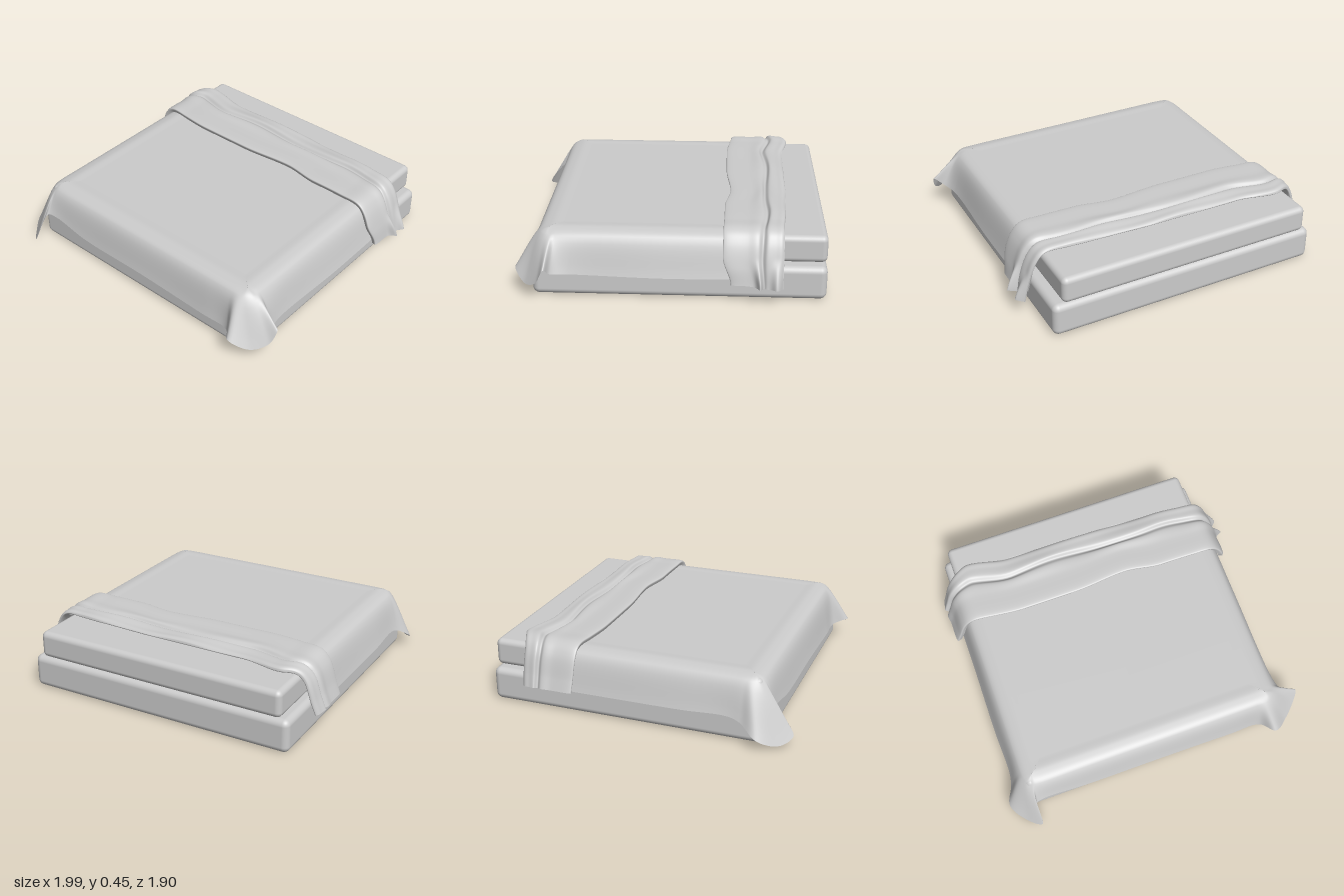
import * as THREE from 'three';
import { RoundedBoxGeometry } from 'three/addons/geometries/RoundedBoxGeometry.js';

const V = (x, y, z) => new THREE.Vector3(x, y, z);
const spline = pts => new THREE.CatmullRomCurve3(pts, false, 'centripetal');
const clamp = THREE.MathUtils.clamp;
const smooth = THREE.MathUtils.smoothstep;

// Smooth skin over a list of equally long rows of points
function skin(rows) {
  const n = rows[0].length, index = [];
  for (let r = 0; r < rows.length - 1; r++) {
    for (let c = 0; c < n - 1; c++) {
      const a = r * n + c, b = a + n;
      index.push(a, b, a + 1, b, b + 1, a + 1);
    }
  }
  const geo = new THREE.BufferGeometry().setFromPoints(rows.flat());
  geo.setIndex(index);
  geo.computeVertexNormals();
  return geo;
}

// Piecewise eased lookup through [x, value] pairs
function lookup(pairs, x) {
  let i = 0;
  while (i < pairs.length - 2 && x > pairs[i + 1][0]) i++;
  const [x0, a] = pairs[i], [x1, b] = pairs[i + 1];
  return a + (b - a) * smooth(x, x0, x1);
}

// Blanket: shoulder x, z then hem x, y, z, running left side, front, right side
const columns = [
  [-.87, -.66, -.935, .15, -.66], [-.87, -.2, -.935, .15, -.2],
  [-.87, .3, -.94, .155, .3], [-.87, .55, -.935, .16, .58],
  [-.87, .66, -.95, .14, .66], [-.865, .70, -1, .07, .77],
  [-.85, .735, -.92, .02, .89], [-.83, .75, -.84, .06, .95],
  [-.81, .76, -.83, .2, .84], [-.76, .765, -.77, .2, .825],
  [-.5, .765, -.5, .155, .825], [0, .765, 0, .15, .825],
  [.5, .765, .5, .13, .825], [.68, .765, .70, .13, .83],
  [.74, .765, .78, .15, .91], [.78, .75, .89, .09, .84],
  [.81, .72, .97, .13, .76], [.82, .69, .99, .22, .71],
  [.82, .66, .93, .17, .68], [.82, .55, .895, .155, .58],
  [.82, 0, .895, .14, 0], [.82, -.66, .895, .15, -.66],
];

function blanketGeometry() {
  const shoulder = spline(columns.map(c => V(c[0], .37, c[1])));
  const hem = spline(columns.map(c => V(c[2], c[3], c[4])));
  const rows = [], N = 168, top = .4;
  for (let i = 0; i <= N; i++) {
    const s = shoulder.getPoint(i / N), h = hem.getPoint(i / N);
    const inset = d => V(clamp(s.x, -.87 + d, .82 - d), top, Math.min(s.z, .765 - d));
    const drop = spline([inset(.15), inset(.07), s, h]);
    rows.push([V(-.02, top, Math.min(s.z, .4)), ...drop.getPoints(24)]);
  }
  return skin(rows);
}

// Turned-back band: an arch over the bed carrying a folded z / lift profile
function bandGeometry() {
  const arch = spline([
    [-.955, .15], [-.93, .22], [-.885, .35], [-.84, .395], [-.7, .402], [-.35, .402], [0, .402],
    [.35, .402], [.66, .402], [.79, .395], [.835, .35], [.885, .22], [.905, .12],
  ].map(([x, y]) => V(x, y, 0)));
  const fold = spline([
    [-.36, -.004], [-.35, .025], [-.37, .032], [-.5, .032], [-.575, .036], [-.605, .018],
    [-.63, .038], [-.68, .034], [-.715, .03], [-.73, .015], [-.71, .002], [-.64, -.004],
  ].map(([z, lift]) => V(z, lift, 0)));
  const frontWave = [[-1, -.04], [-.88, -.035], [-.5, 0], [-.15, 0], [.2, .025], [.45, -.02], [1, -.01]]
    .map(([x, d]) => [x, x < .2 ? d : -Math.abs(d) + .03]);
  frontWave[4][1] = -.025;
  const backWave = [[-1, .03], [-.9, .01], [-.76, -.045], [-.5, 0], [.1, .005], [.5, .02], [.8, .04], [1, .045]];
  const rows = [], N = 150, M = 70;
  for (let i = 0; i <= N; i++) {
    const p = arch.getPoint(i / N), t = arch.getTangent(i / N), row = [];
    const low = smooth(.28 - p.y, 0, .16) * (p.x > 0 ? 1 : 0);
    for (let j = 0; j <= M; j++) {
      const f = fold.getPoint(j / M);
      const back = smooth(-f.x, .38, .72);
      const flare = low * .045 * (Math.exp(-(((f.x + .57) / .03) ** 2)) + Math.exp(-(((f.x + .69) / .03) ** 2)));
      const ripple = .006 * Math.sin(p.x * 9 + f.x * 14) * smooth(-f.x, .5, .62);
      const lift = f.y + flare + (j < M * .8 ? ripple : 0);
      const z = f.x + (1 - back) * (lookup(frontWave, p.x) - low * .05) + back * lookup(backWave, p.x)
        + .012 * Math.sin(p.x * 8) * Math.exp(-(((f.x + .605) / .04) ** 2));
      const sag = low * -.02 * smooth(-f.x, .4, .65);
      row.push(V(p.x - t.y * lift, p.y + t.x * lift + sag, z));
    }
    rows.push(row);
  }
  return skin(rows);
}

export function createModel() {
  const group = new THREE.Group();
  const solid = new THREE.MeshStandardMaterial({ color: 0xcccccc });
  const cloth = new THREE.MeshStandardMaterial({ color: 0xcccccc, side: THREE.DoubleSide });
  const add = (name, geo, mat) => {
    const mesh = new THREE.Mesh(geo, mat);
    mesh.name = name;
    group.add(mesh);
    return mesh;
  };
  // Two stacked cushions
  add('bedBase', new RoundedBoxGeometry(1.77, .21, 1.75, 5, .04), solid).position.set(-.025, .105, -.075);
  add('mattress', new RoundedBoxGeometry(1.66, .17, 1.71, 5, .035), solid).position.set(-.03, .298, -.095);
  // Bedding
  add('blanket', blanketGeometry(), cloth);
  add('foldedBlanketBand', bandGeometry(), cloth);
  return group;
}
